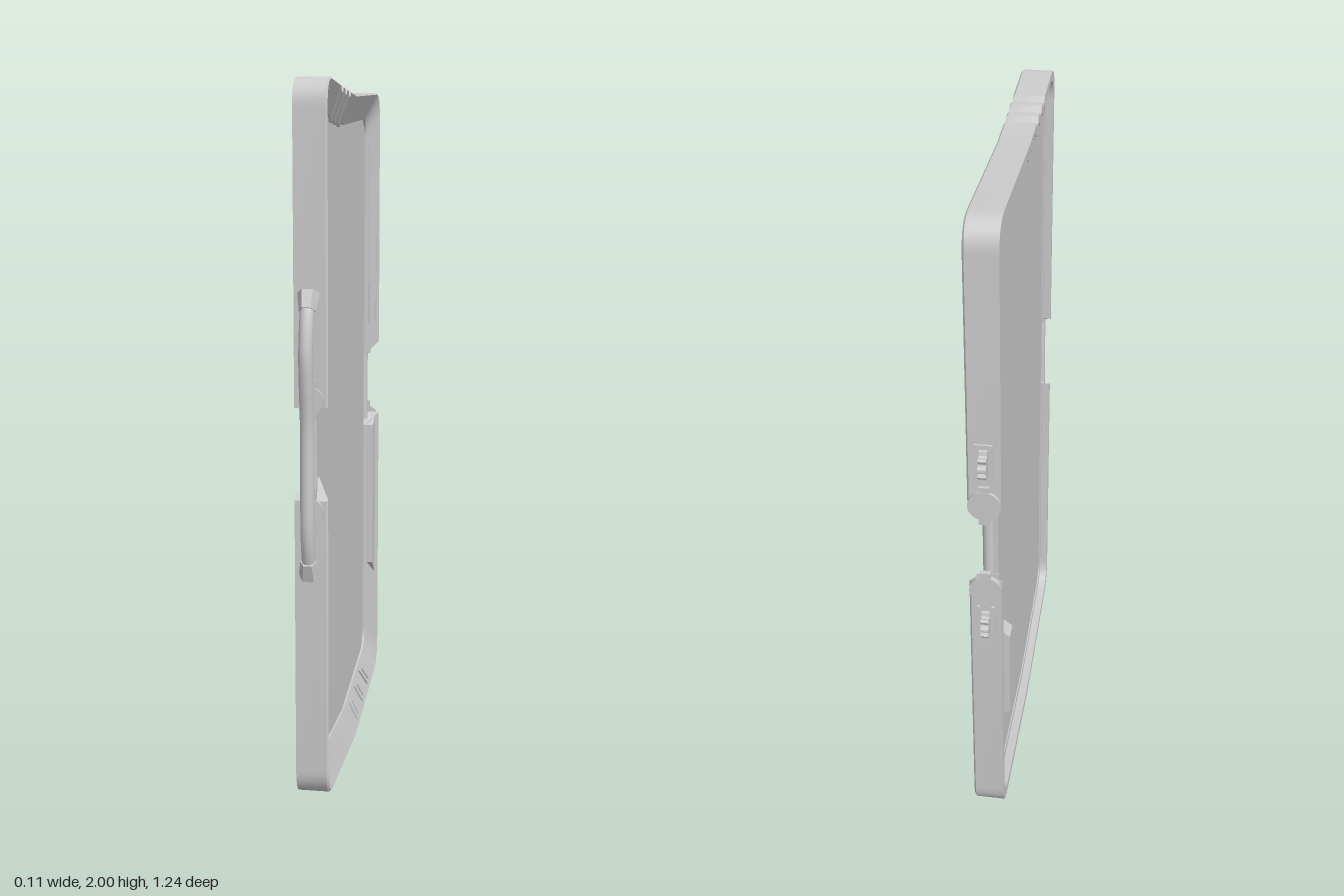
import * as THREE from 'three';
import { toCreasedNormals } from 'three/addons/utils/BufferGeometryUtils.js';

// Local frame: x = across the face, y = up, z = depth; the whole is turned to face +x at the end.
const grey = new THREE.MeshStandardMaterial({ color: 0xcccccc, side: THREE.DoubleSide });

// Polyline [x, y, radius] with rounded corners; equal structure gives equal point counts.
function rounded(points) {
  const out = [];
  points.forEach(([x, y, r], i) => {
    const p = new THREE.Vector2(x, y);
    if (!r) return out.push(p);
    const toward = (q) => new THREE.Vector2(q[0], q[1]).sub(p).setLength(r).add(p);
    const n = points.length;
    const a = toward(points[(i + n - 1) % n]), b = toward(points[(i + 1) % n]);
    out.push(...new THREE.QuadraticBezierCurve(a, p, b).getPoints(8));
  });
  return out;
}

// Three slanted grip notches cut into the top rail
function notches(y, slope, shift) {
  const pts = [];
  for (let k = 0; k < 3; k++) {
    for (const [du, dy] of [[0, 0], [0.012, 0.014], [0.036, 0.014], [0.048, 0]]) {
      const x = -0.31 + 0.07 * k + du + shift;
      pts.push([x, y - slope * x - dy]);
    }
  }
  return pts;
}

// Rail section: [0 = outer edge .. 1 = inner edge, depth]; bevelled face, hollow back
const section = [
  [0, -0.04], [0, 0.045], [0.06, 0.05], [1, 0.014], [1, -0.022],
  [0.8, -0.022], [0.8, -0.002], [0.28, 0.012], [0.28, -0.04],
];

function railGeometry(outerPts, innerPts) {
  const outer = rounded(outerPts), inner = rounded(innerPts);
  const n = section.length, pos = [], index = [];
  outer.forEach((o, i) => {
    for (const [t, d] of section) {
      const p = o.clone().lerp(inner[i], t);
      pos.push(p.x, p.y, d);
    }
  });
  for (let i = 0; i < outer.length - 1; i++) {
    for (let j = 0; j < n; j++) {
      const k = (j + 1) % n, a = i * n + j, b = i * n + k;
      index.push(a, b, b + n, a, b + n, a + n);
    }
  }
  // end caps
  const cap = THREE.ShapeUtils.triangulateShape(section.map(([t, d]) => new THREE.Vector2(t, d)), []);
  const last = (outer.length - 1) * n;
  for (const [a, b, c] of cap) index.push(a, b, c, last + a, last + c, last + b);
  const g = new THREE.BufferGeometry();
  g.setAttribute('position', new THREE.Float32BufferAttribute(pos, 3));
  g.setIndex(index);
  return toCreasedNormals(g, 0.45);
}

// Rectangular outline, optionally with a row of openings
function grilleGeometry(w, h, slots, depth, wall, lean = 0) {
  const quad = (x0, x1, y0, y1) => [
    [x0 + lean * y0, y0], [x1 + lean * y0, y0], [x1 + lean * y1, y1], [x0 + lean * y1, y1],
  ].map(([x, y]) => new THREE.Vector2(x, y));
  const shape = new THREE.Shape(quad(-w / 2, w / 2, -h / 2, h / 2));
  const step = (h - wall) / slots;
  for (let i = 0; i < slots; i++) {
    const y = -h / 2 + wall + i * step;
    shape.holes.push(new THREE.Path(quad(-w / 2 + wall, w / 2 - wall, y, y + step - wall)));
  }
  return new THREE.ExtrudeGeometry(shape, { depth, bevelEnabled: false });
}

export function createModel() {
  const model = new THREE.Group();
  const body = new THREE.Group();
  body.name = 'body';
  body.rotation.y = Math.PI / 2;
  model.add(body);
  const add = (name, geometry, x = 0, y = 0, z = 0) => {
    const mesh = new THREE.Mesh(geometry, grey);
    mesh.name = name;
    mesh.position.set(x, y, z);
    body.add(mesh);
    return mesh;
  };

  // Upper and lower halves of the frame
  add('upperFrame', railGeometry(
    [[-0.546, 1.15], [-0.55, 2.005, 0.085], ...notches(1.975, 0.05, 0), [0, 1.975], [0.565, 2.005, 0.085], [0.572, 1.19]],
    [[-0.465, 1.2], [-0.465, 1.92, 0.06], ...notches(1.89, 0.06, 0.04), [0, 1.89], [0.483, 1.92, 0.06], [0.489, 1.15]]));
  add('lowerFrame', railGeometry(
    [[0.57, 0.945], [0.568, 0.05, 0.085], [0, 0.002], [-0.548, 0.052, 0.085], [-0.548, 0.9]],
    [[0.487, 0.91], [0.483, 0.14, 0.06], [0, 0.095], [-0.465, 0.14, 0.06], [-0.465, 0.945]]));

  // Main panel
  const panel = new THREE.Shape(rounded([
    [-0.47, 0.137, 0.06], [0, 0.09], [0.488, 0.137, 0.06],
    [0.488, 1.923, 0.06], [0, 1.893], [-0.47, 1.923, 0.06],
  ]));
  add('panel', new THREE.ExtrudeGeometry(panel, { depth: 0.026, bevelEnabled: false }), 0, 0, -0.018);

  // Rods bridging the gaps between the halves
  for (const x of [-0.512, 0.535]) add('bridgeRod', new THREE.CylinderGeometry(0.016, 0.016, 0.5, 16), x, 1.05, 0);

  // Carrying handle with end collars
  const path = [[-0.55, 1.44], [-0.575, 1.4], [-0.598, 1.3], [-0.593, 1.22], [-0.578, 1.1], [-0.578, 0.82], [-0.565, 0.75], [-0.545, 0.69]];
  const curve = new THREE.CatmullRomCurve3(path.map(([x, y]) => new THREE.Vector3(x, y, 0)));
  add('handle', new THREE.TubeGeometry(curve, 48, 0.019, 12));
  for (const [x, y, tilt] of [[-0.558, 1.43, -0.55], [-0.555, 0.715, Math.PI + 0.45]]) {
    const collar = add('handleCollar', new THREE.CylinderGeometry(0.03, 0.022, 0.05, 6).toNonIndexed(), x, y, 0);
    collar.geometry.computeVertexNormals();
    collar.rotation.z = tilt;
  }

  // Latches beside the gaps
  for (const [y, h] of [[1.17, 0.11], [0.87, 0.13]]) {
    add('latchPlate', new THREE.BoxGeometry(0.014, h, 0.03), -0.546, y, 0.004);
    const knob = add('latchKnob', new THREE.CylinderGeometry(0.036, 0.036, 0.016, 20), -0.548, y, 0.004);
    knob.rotation.z = Math.PI / 2;
  }
  for (const y of [1.205, 0.92]) {
    const disc = add('latchDisc', new THREE.CylinderGeometry(0.045, 0.045, 0.016, 20), 0.573, y, 0.004);
    disc.rotation.z = Math.PI / 2;
    add('latchTab', new THREE.BoxGeometry(0.014, 0.12, 0.03), 0.573, y, 0.004);
  }

  // Toothed wheels on the far edge
  const gear = new THREE.Shape();
  for (let i = 0; i < 40; i++) {
    const a = (i / 40) * Math.PI * 2, r = i % 4 < 2 ? 0.045 : 0.036;
    gear[i ? 'lineTo' : 'moveTo'](r * Math.cos(a), r * Math.sin(a));
  }
  for (const y of [1.34, 0.805]) {
    add('toothedWheel', new THREE.ExtrudeGeometry(gear, { depth: 0.022, bevelEnabled: false }), 0.573, y, -0.008);
    add('wheelMount', new THREE.BoxGeometry(0.014, 0.11, 0.05), 0.57, y, 0.004);
  }

  // Grilles on the bevelled face
  for (const y of [1.34, 0.775]) {
    add('sideGrille', grilleGeometry(0.044, 0.18, 4, 0.01, 0.006), -0.502, y, 0.027).rotation.y = 0.4;
  }
  [0.09, 0.21, 0.33].forEach((x, i) => {
    add('bottomSlot', grilleGeometry(0.042, 0.062, 1, 0.01, 0.006, -0.15 - 0.2 * i), x, 0.056 + 0.012 * i, 0.027).rotation.x = -0.4;
  });

  // Long side inserts on the far rail
  add('upperInsert', grilleGeometry(0.05, 0.6, 1, 0.008, 0.005), 0.53, 1.55, 0.027).rotation.y = -0.4;
  const insert = new THREE.Shape([[0.496, 0.43], [0.566, 0.36], [0.566, 0.94], [0.496, 0.91]].map(([x, y]) => new THREE.Vector2(x, y)));
  add('lowerInsert', new THREE.ExtrudeGeometry(insert, { depth: 0.03, bevelEnabled: false }), 0, 0, 0.01);

  // Tapered block on the back of the far rail
  const block = new THREE.Shape([[0, 0.43], [0.022, 0.45], [0.022, 0.73], [0, 0.75], [-0.03, 0.75], [-0.03, 0.43]].map(([x, y]) => new THREE.Vector2(x, y)));
  const backBlock = add('backBlock', new THREE.ExtrudeGeometry(block, { depth: 0.05, bevelEnabled: false }), 0.495, 0, -0.036);
  backBlock.rotation.y = Math.PI / 2;

  return model;
}
